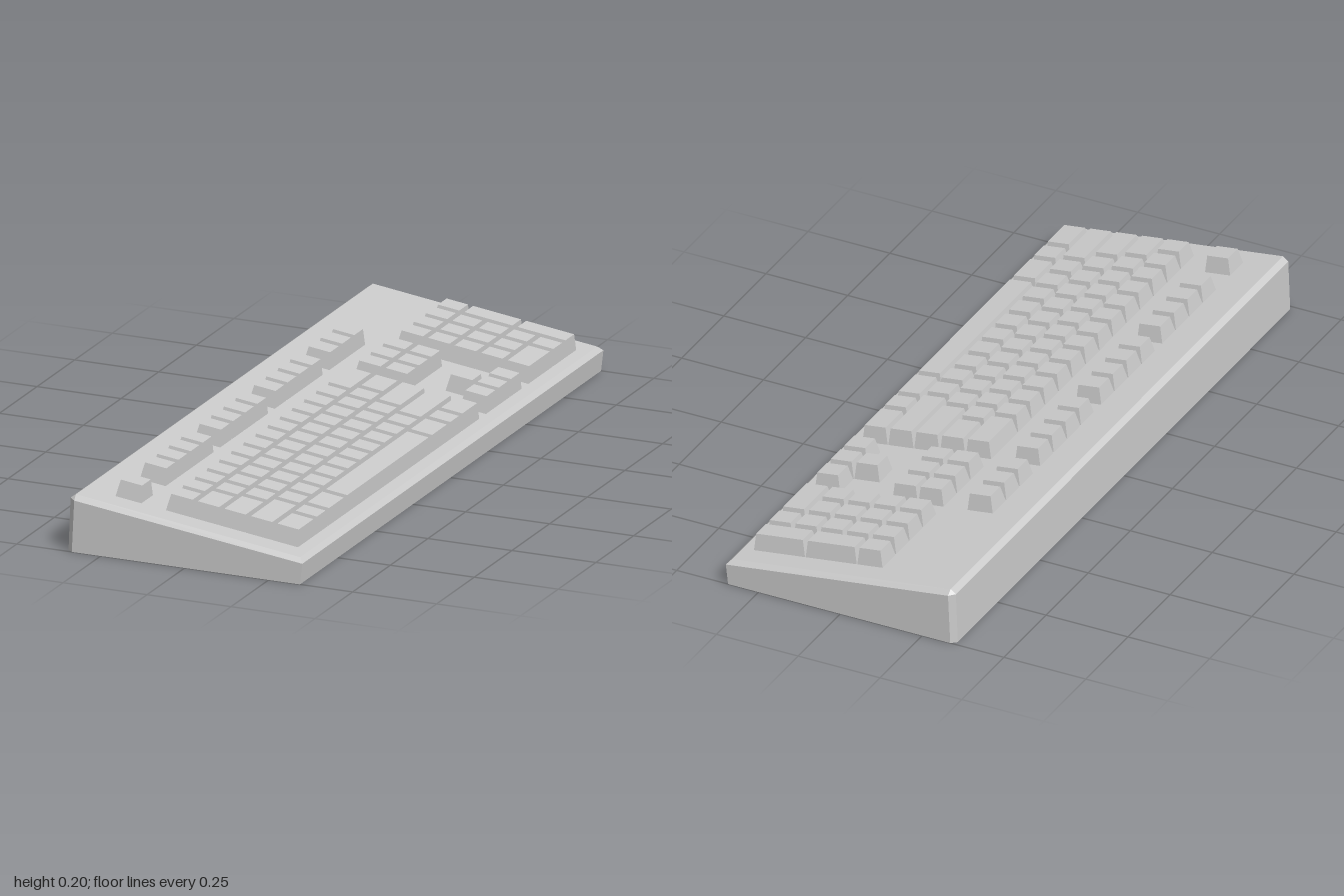
import * as THREE from 'three';
import { ConvexGeometry } from 'three/addons/geometries/ConvexGeometry.js';

const UNIT = 0.0805;     // key pitch along a row (z)
const PITCH = 0.079;     // row spacing (x)
const Z0 = 0.926;        // left end of the rows
const X0 = -0.091;       // rear edge of the number row
const GAP = 0.0015;
const KEY_H = 0.0475;
const deck = x => 0.118 - 0.133 * x;   // height of the sloping top

const material = new THREE.MeshStandardMaterial({ color: 0xcccccc, flatShading: true });

// Wedge-shaped case with chamfered top and rear edges
function makeCase() {
  const points = [];
  const end = [[-0.336, 0], [0.343, 0], [0.35, 0.06], [-0.329, 0.148]];
  const middle = [[-0.352, 0], [0.343, 0], [0.35, 0.06], [0.338, deck(0.338)], [-0.33, deck(-0.33)], [-0.346, 0.15]];
  for (const s of [-1, 1]) {
    for (const [x, y] of end) points.push(new THREE.Vector3(x, y, s));
    for (const [x, y] of middle) points.push(new THREE.Vector3(x, y, s * 0.986));
  }
  const mesh = new THREE.Mesh(new ConvexGeometry(points), material);
  mesh.name = 'case';
  return mesh;
}

// Tapered key: row and column give its rear left corner, sizes are in key units
function makeKey(row, col, width = 1, depth = 1) {
  const xa = X0 + row * PITCH + GAP / 2, xb = X0 + (row + depth) * PITCH - GAP / 2;
  const za = Z0 - col * UNIT - GAP, zb = Z0 - (col + width) * UNIT + GAP;
  const geometry = new THREE.BoxGeometry(1, 1, 1);
  const p = geometry.attributes.position;
  for (let i = 0; i < p.count; i++) {
    const top = p.getY(i) > 0;
    const x = p.getX(i) < 0 ? xa + (top ? 0.012 : 0) : xb - (top ? 0.002 : 0);
    const z = p.getZ(i) > 0 ? za - (top ? 0.01 : 0) : zb + (top ? 0.01 : 0);
    p.setXYZ(i, x, deck(x) + (top ? KEY_H : -0.002), z);
  }
  geometry.computeVertexNormals();
  const mesh = new THREE.Mesh(geometry, material);
  mesh.name = 'key';
  return mesh;
}

// Named block of keys; each run is [row, start column, widths]
function makeBlock(name, runs) {
  const block = new THREE.Group();
  block.name = name;
  for (const [row, start, widths] of runs) {
    let col = start;
    for (const w of widths) {
      block.add(makeKey(row, col, w));
      col += w;
    }
  }
  return block;
}

const ones = n => Array(n).fill(1);

export function createModel() {
  const keyboard = new THREE.Group();
  keyboard.name = 'keyboard';
  keyboard.add(makeCase());

  const F = -1.9;   // function row sits apart, behind the others
  keyboard.add(makeBlock('functionKeys', [
    [F, 0, [1]], [F, 2, ones(4)], [F, 6.5, ones(4)], [F, 11, ones(4)], [F, 15.5, ones(3)],
  ]));

  keyboard.add(makeBlock('mainKeys', [
    [0, 0, [...ones(13), 2]],
    [1, 0, [1.5, ...ones(12), 1.5]],
    [2, 0, [1.75, ...ones(11), 2.25]],
    [3, 0, [2.25, ...ones(10), 2.75]],
    [4, 0, [1.5, 1, 1.5, 7, 1.5, 1, 1.5]],
  ]));

  keyboard.add(makeBlock('navigationKeys', [[0, 15.5, ones(3)], [1, 15.5, ones(3)]]));
  keyboard.add(makeBlock('arrowKeys', [[3, 16.5, [1]], [4, 15.5, ones(3)]]));

  // Number pad, with two double-depth keys in its last column
  const pad = makeBlock('numberPad', [
    [0, 19, ones(4)], [1, 19, ones(3)], [2, 19, ones(3)], [3, 19, ones(3)], [4, 19, [2, 1]],
  ]);
  pad.add(makeKey(1, 22, 1, 2), makeKey(3, 22, 1, 2));
  keyboard.add(pad);

  return keyboard;
}
